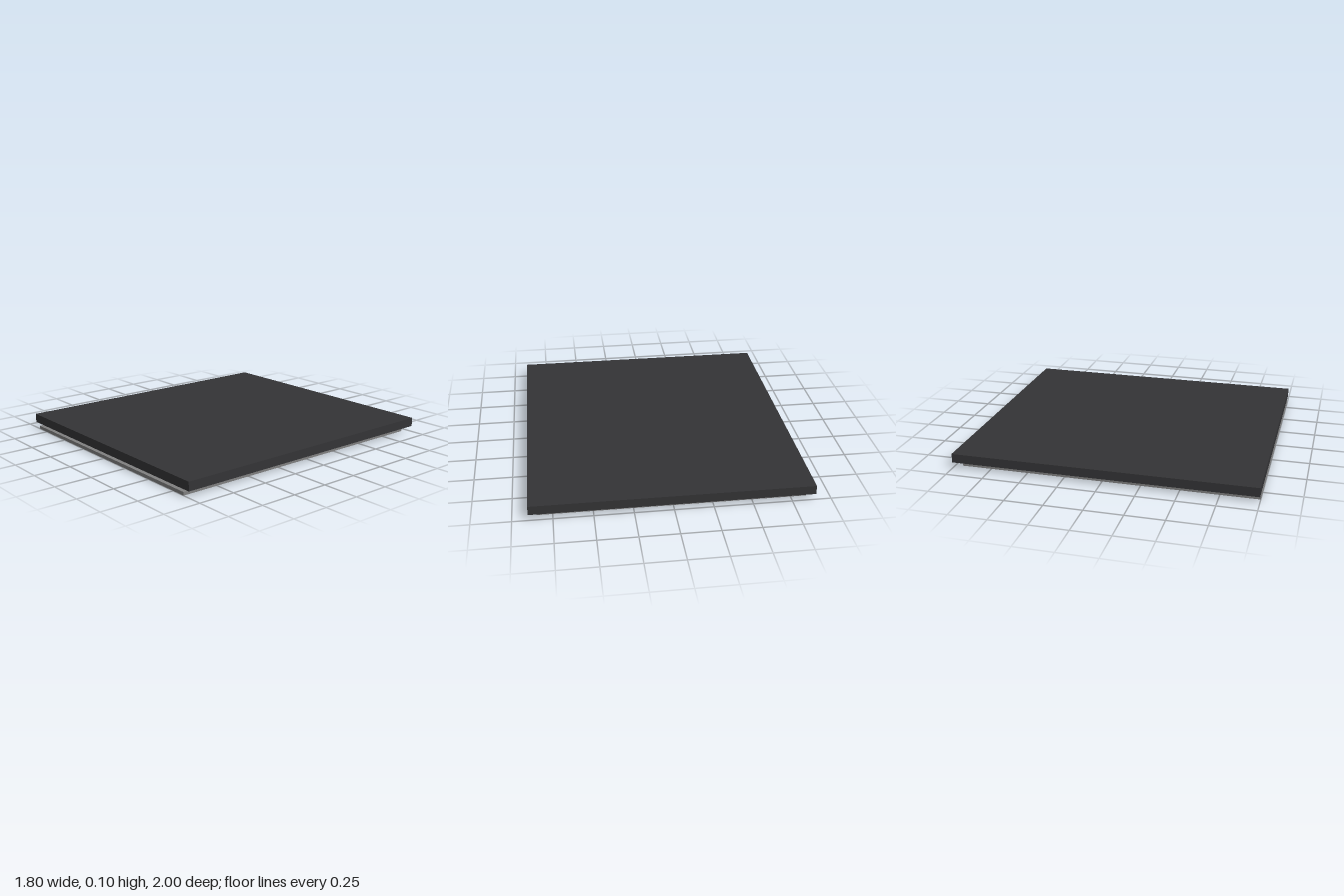
import * as THREE from 'three';

const W = 0.85, L = 0.975;          // half sizes of the lower plate
const THICK = 0.022, GROOVE = 0.01; // plate thickness, groove depth
const R_OUT = 0.25, R_IN = 0.21;    // ring groove radii

// Rectangular opening centred on (x, y)
function slot(x, y, w, h) {
  const p = new THREE.Path();
  p.moveTo(x - w / 2, y - h / 2);
  p.lineTo(x - w / 2, y + h / 2);
  p.lineTo(x + w / 2, y + h / 2);
  p.lineTo(x + w / 2, y - h / 2);
  p.closePath();
  return p;
}

// Extrude a plan shape upwards from y = 0
function slabFrom(shape) {
  const g = new THREE.ExtrudeGeometry(shape, { depth: GROOVE, bevelEnabled: false, curveSegments: 32 });
  return g.rotateX(-Math.PI / 2);
}

function named(geometry, material, name) {
  const m = new THREE.Mesh(geometry, material);
  m.name = name;
  return m;
}

export function createModel() {
  const group = new THREE.Group();
  const dark = new THREE.MeshStandardMaterial({ color: 0x343436 });
  const grey = new THREE.MeshStandardMaterial({ color: 0x808080 });

  // Upper slab
  const top = named(new THREE.BoxGeometry(1.8, 0.06, 2), dark, 'topSlab');
  top.position.y = 0.07;
  group.add(top);

  // Half outline of the grooved underside, with a half-round bite for the ring
  const face = new THREE.Shape();
  face.moveTo(0, -L);
  face.lineTo(W, -L);
  face.lineTo(W, L);
  face.lineTo(0, L);
  face.lineTo(0, R_OUT);
  face.absarc(0, 0, R_OUT, Math.PI / 2, -Math.PI / 2, true);
  face.closePath();
  face.holes.push(slot(0.6, 0, 0.04, 0.98));
  for (const s of [-1, 1]) face.holes.push(slot(0.42, s * 0.65, 0.39, 0.04));

  // Half disc inside the ring groove
  const disc = new THREE.Shape();
  disc.absarc(0, 0, R_IN, -Math.PI / 2, Math.PI / 2, false);
  disc.closePath();

  // Lower plate: two equal halves meeting on the centre line
  const plate = new THREE.Group();
  plate.name = 'lowerPlate';
  plate.position.z = 0.025;
  ['left', 'right'].forEach((side, i) => {
    const half = new THREE.Group();
    half.name = side + 'PlateHalf';
    half.rotation.y = i * Math.PI;
    const h = THICK - GROOVE;
    const backing = named(new THREE.BoxGeometry(W, h, 2 * L), grey, 'plateBacking');
    backing.position.set(W / 2, GROOVE + h / 2, 0);
    half.add(backing, named(slabFrom(face), grey, 'groovedFace'), named(slabFrom(disc), grey, 'centreDisc'));
    plate.add(half);
  });
  group.add(plate);

  return group;
}
